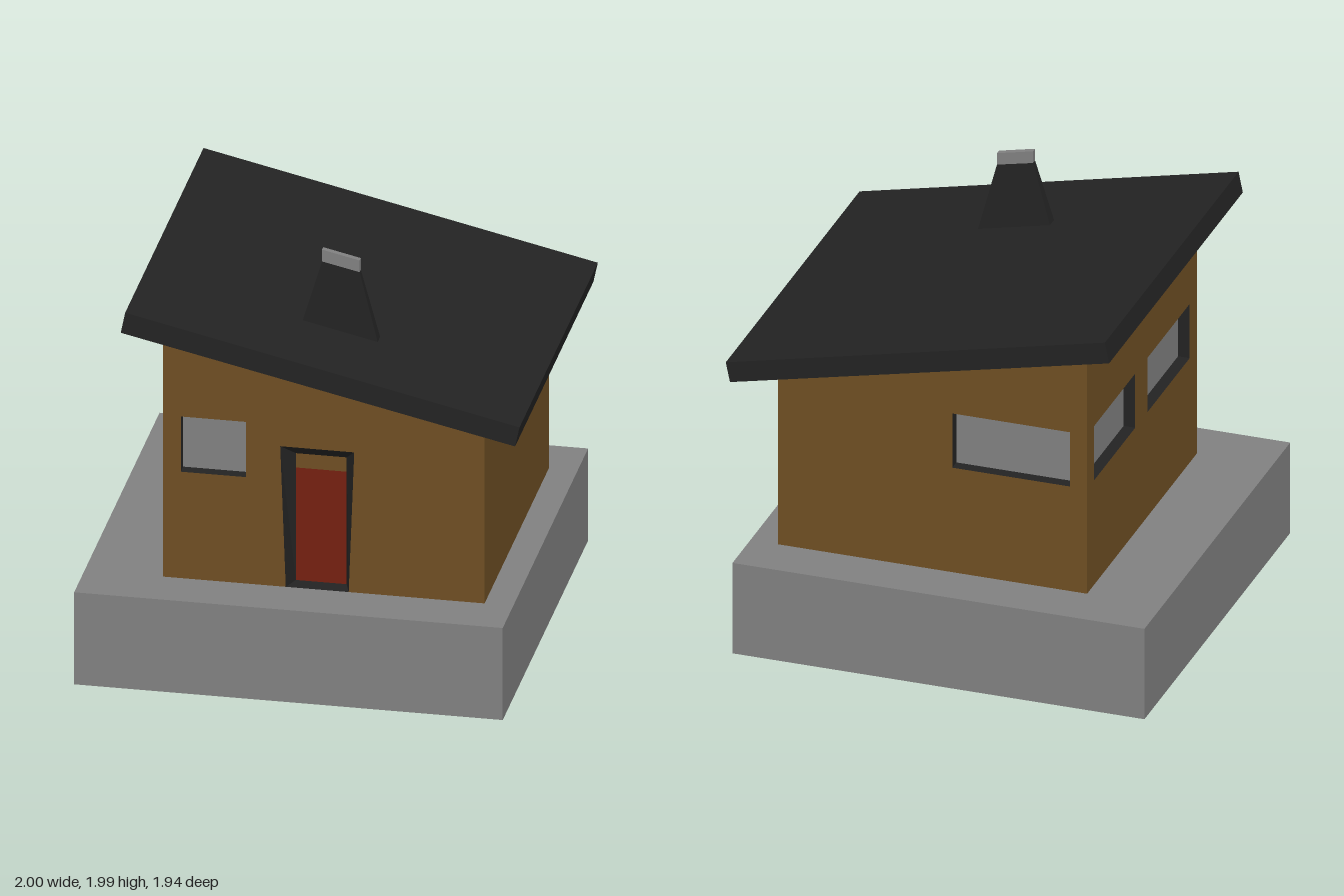
import * as THREE from 'three';

const mat = (name, color) => {
  const m = new THREE.MeshStandardMaterial({ color, side: THREE.DoubleSide });
  m.name = name;
  return m;
};

// Rectangular loop, counterclockwise from above; height runs from yL at x0 to yR at x1
const ring = (x0, x1, z0, z1, yL, yR = yL) =>
  [[x0, yL, z1], [x1, yR, z1], [x1, yR, z0], [x0, yL, z0]];

// Flat-faced strips through successive loops, optionally closed by a last face
function loft(rings, capped = false) {
  const p = [];
  const quad = (a, b, c, d) => p.push(...a, ...b, ...c, ...a, ...c, ...d);
  for (let r = 0; r < rings.length - 1; r++) {
    const a = rings[r], b = rings[r + 1];
    a.forEach((_, i) => {
      const j = (i + 1) % a.length;
      quad(a[i], a[j], b[j], b[i]);
    });
  }
  if (capped) quad(...rings[rings.length - 1]);
  const g = new THREE.BufferGeometry();
  g.setAttribute('position', new THREE.Float32BufferAttribute(p, 3));
  g.computeVertexNormals();
  return g;
}

const rect = (u0, u1, v0, v1) => [[u0, v0], [u1, v0], [u1, v1], [u0, v1]];
const path = (pts) => pts.map(([u, v]) => new THREE.Vector2(u, v));

export function createModel() {
  const grey = mat('grey', 0x808080);
  const brown = mat('brown', 0x6e4e23);
  const black = mat('black', 0x232323);
  const red = mat('red', 0x742010);

  const model = new THREE.Group();
  model.name = 'house';
  const add = (parent, name, geometry, material) => {
    const mesh = new THREE.Mesh(geometry, material);
    mesh.name = name;
    parent.add(mesh);
    return mesh;
  };

  const X0 = -0.645, X1 = 0.81, Z = 0.73, FLOOR = 0.45;
  const HIGH = 1.645, LOW = 1.325;

  // Plinth: hollow, open below and under the house
  add(model, 'plinth', loft([
    ring(-1, 0.94, -0.97, 0.97, 0),
    ring(-1, 0.94, -0.97, 0.97, FLOOR),
    ring(X0, X1, -Z, Z, FLOOR),
  ]), grey);

  // Wall sheet in its own plane, facing local +z
  function wall(name, outline, windows, x, z, turn) {
    const g = new THREE.Group();
    g.name = name;
    g.position.set(x, 0, z);
    g.rotation.y = turn;
    const shape = new THREE.Shape(path(outline));
    windows.forEach((w) => {
      shape.holes.push(new THREE.Path(path(w)));
      recess(g, 'window', w, w, 0.055);
      const glass = add(g, 'windowGlass', new THREE.ShapeGeometry(new THREE.Shape(path(w))), grey);
      glass.position.z = -0.055;
    });
    add(g, name + 'Panel', new THREE.ShapeGeometry(shape), brown);
    model.add(g);
    return g;
  }

  // Black reveal between an opening and its set-back face
  function recess(g, name, outer, inner, depth) {
    add(g, name + 'Reveal', loft([
      outer.map(([u, v]) => [u, v, 0]),
      inner.map(([u, v]) => [u, v, -depth]),
    ]), black);
  }

  const sill = 0.97, head = 1.24;

  // Front wall, notched for the door
  const doorway = [[-0.09, FLOOR], [0.195, FLOOR], [0.22, 1.135], [-0.115, 1.135]];
  const front = wall('frontWall', [
    [X0, FLOOR], doorway[0], doorway[3], doorway[2], doorway[1],
    [X1, FLOOR], [X1, LOW], [X0, HIGH],
  ], [rect(-0.565, -0.27, sill, head)], 0, Z, 0);

  // Door in a splayed reveal, with a panel above it
  recess(front, 'door', doorway, rect(-0.06, 0.17, FLOOR, 1.07), 0.08);
  const leaf = (name, v0, v1, material) => {
    const shape = new THREE.Shape(path(rect(-0.06, 0.17, v0, v1)));
    add(front, name, new THREE.ShapeGeometry(shape), material).position.z = -0.08;
  };
  leaf('door', FLOOR, 1.0, red);
  leaf('doorTransom', 1.0, 1.07, brown);

  // Back and side walls
  wall('backWall', [[-X1, FLOOR], [-X0, FLOOR], [-X0, HIGH], [-X1, LOW]],
    [rect(0.01, 0.565, sill, head)], 0, -Z, Math.PI);
  wall('rightWall', rect(-Z, Z, FLOOR, HIGH),
    [rect(-0.635, -0.09, sill, head), rect(0.075, 0.635, sill, head)], X0, 0, -Math.PI / 2);
  wall('leftWall', rect(-Z, Z, FLOOR, LOW), [], X1, 0, Math.PI / 2);

  // Sloping roof: soffit, fascia and top
  add(model, 'roof', loft([
    ring(X0, X1, -Z, Z, HIGH, LOW),
    ring(-0.805, 0.98, -0.89, 0.89, 1.7, 1.305),
    ring(-0.785, 1.0, -0.89, 0.89, 1.8, 1.4),
  ], true), black);

  // Tapered chimney with a slanted cap
  const neck = ring(0.02, 0.19, 0.43, 0.457, 1.927, 1.89);
  add(model, 'chimney', loft([
    ring(-0.065, 0.275, 0.415, 0.471, 1.637, 1.561), neck,
  ]), black);
  add(model, 'chimneyCap', loft([
    neck, ring(0.02, 0.19, 0.43, 0.457, 1.985, 1.947),
  ], true), grey);

  return model;
}
